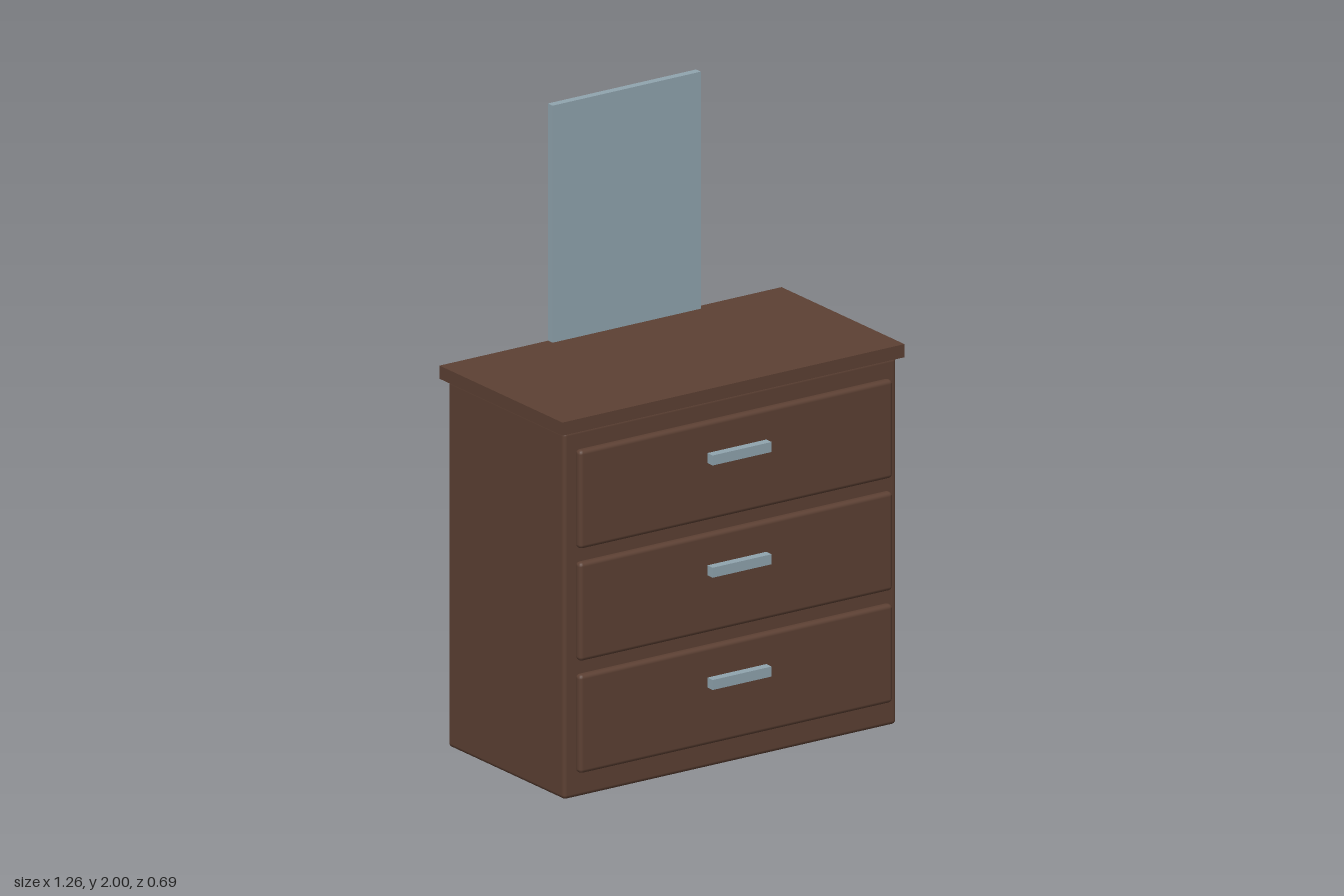
import * as THREE from 'three';
import { RoundedBoxGeometry } from 'three/addons/geometries/RoundedBoxGeometry.js';

export function createModel() {
  const model = new THREE.Group();
  model.name = 'dresser';

  const wood = new THREE.MeshStandardMaterial({ color: 0x5c4033 });
  wood.name = 'dark wood';
  const metal = new THREE.MeshStandardMaterial({ color: 0x90a4ae });
  metal.name = 'blue grey';

  // Box centred on x, given by its y and z ranges; a radius rounds its edges
  function addBox(parent, name, material, width, [y0, y1], [z0, z1], radius = 0) {
    const size = [width, y1 - y0, z1 - z0];
    const geometry = radius
      ? new RoundedBoxGeometry(...size, 2, radius)
      : new THREE.BoxGeometry(...size);
    const mesh = new THREE.Mesh(geometry, material);
    mesh.name = name;
    mesh.position.set(0, (y0 + y1) / 2, (z0 + z1) / 2);
    parent.add(mesh);
  }

  // Cabinet and overhanging top
  addBox(model, 'cabinet', wood, 1.23, [0, 1.174], [-0.328, 0.284], 0.013);
  addBox(model, 'top', wood, 1.264, [1.174, 1.216], [-0.346, 0.3]);

  // Three drawers, each with a bar handle above its middle
  for (let i = 0; i < 3; i++) {
    const drawer = new THREE.Group();
    drawer.name = ['bottomDrawer', 'middleDrawer', 'topDrawer'][i];
    drawer.position.y = 0.085 + i * 0.359;
    addBox(drawer, 'drawerFront', wood, 1.158, [0, 0.315], [0.287, 0.318], 0.013);
    addBox(drawer, 'handle', metal, 0.218, [0.185, 0.217], [0.318, 0.346]);
    model.add(drawer);
  }

  // Upright mirror panel floating just above the top
  addBox(model, 'mirror', metal, 0.548, [1.242, 2], [-0.286, -0.261]);

  return model;
}
